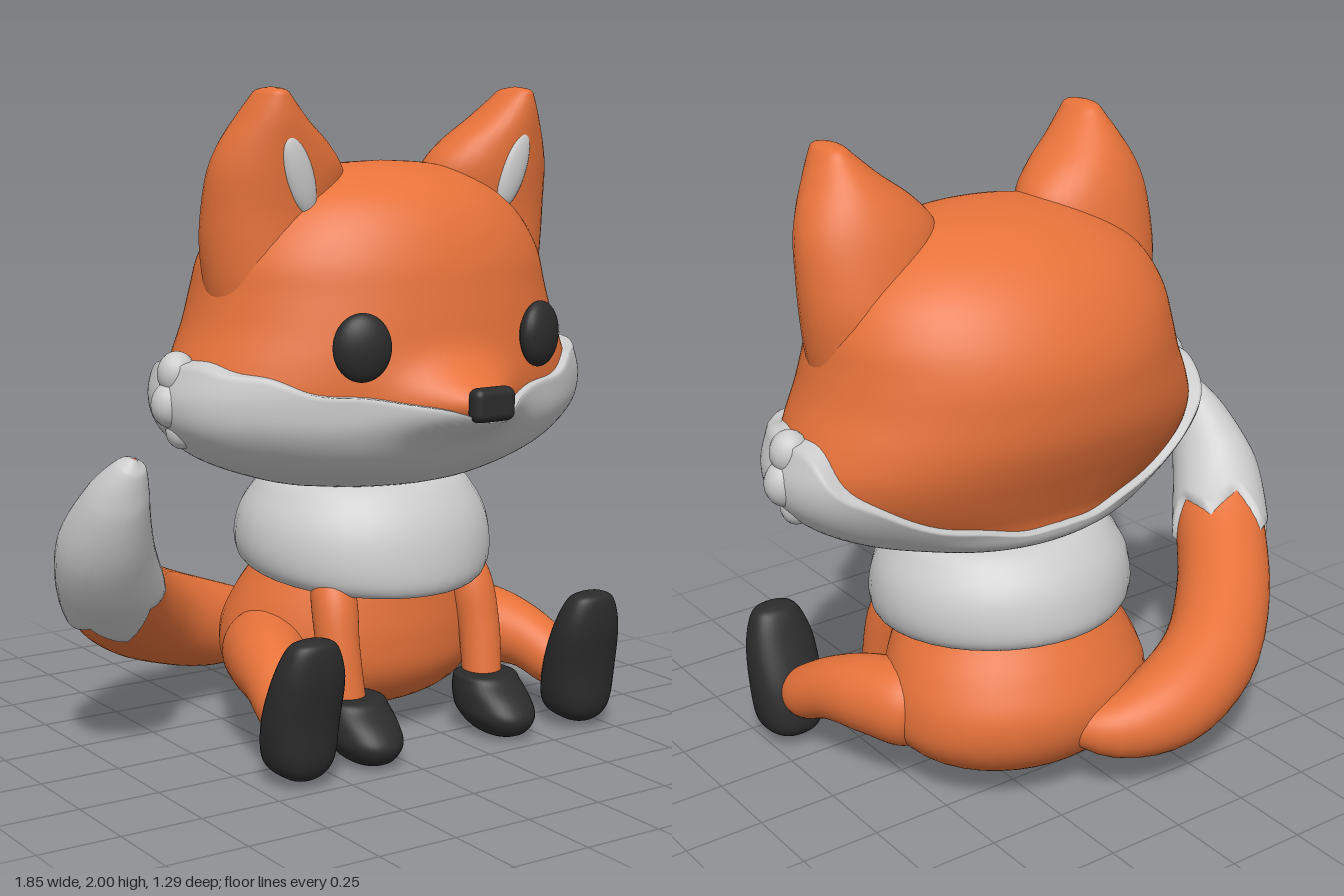
import * as THREE from 'three';
import { RoundedBoxGeometry } from 'three/addons/geometries/RoundedBoxGeometry.js';

const mat = (color) => new THREE.MeshStandardMaterial({ color, side: THREE.DoubleSide });
const orange = mat(0xe6723a), white = mat(0xcccccc), black = mat(0x2b2b2b);

function add(parent, name, geometry, material, x = 0, y = 0, z = 0) {
  const m = new THREE.Mesh(geometry, material);
  m.name = name;
  m.position.set(x, y, z);
  parent.add(m);
  return m;
}

// Grid surface closed around v; fn(u, angle) returns a Vector3
function surface(rows, cols, fn) {
  const pos = [], idx = [];
  for (let i = 0; i <= rows; i++)
    for (let j = 0; j < cols; j++) pos.push(...fn(i / rows, (j / cols) * Math.PI * 2).toArray());
  for (let i = 0; i < rows; i++)
    for (let j = 0; j < cols; j++) {
      const a = i * cols + j, b = i * cols + ((j + 1) % cols), c = a + cols, d = b + cols;
      idx.push(a, b, c, b, d, c);
    }
  const g = new THREE.BufferGeometry();
  g.setAttribute('position', new THREE.Float32BufferAttribute(pos, 3));
  g.setIndex(idx);
  g.computeVertexNormals();
  return g;
}

// Smooth lookup through a table of rows, u in 0..1
function smoothTable(table) {
  const n = table[0].length;
  const it = new THREE.CubicInterpolant(table.map((_, i) => i), table.flat(), n, new Array(n));
  return (u) => it.evaluate(Math.min(1, Math.max(0, u)) * (table.length - 1));
}

// Loft of rings [y, centreX, centreZ, halfWidth, halfDepth]; power < 1 squares them off
function loft(rings, power = 1, mirror = 1) {
  const at = smoothTable(rings);
  const sq = (v) => Math.sign(v) * Math.abs(v) ** power;
  return surface(rings.length * 5, 36, (u, a) => {
    const [y, cx, cz, hw, hd] = at(u);
    return new THREE.Vector3(cx * mirror + hw * sq(Math.sin(a)), y, cz + hd * sq(Math.cos(a)));
  });
}

// Round sweep along points [x, y, z, radius], from start(angle) to the end
function sweep(points, start = () => 0, swell = 0) {
  const curve = new THREE.CatmullRomCurve3(points.map((p) => new THREE.Vector3(p[0], p[1], p[2])));
  const radius = smoothTable(points.map((p) => [p[3]]));
  const N = 200, frames = curve.computeFrenetFrames(N);
  return surface(36, 40, (u, a) => {
    const s = start(a), t = s + (1 - s) * u, k = Math.round(t * N);
    const r = Math.max(0, radius(t)[0]) + (u === 0 ? -swell : swell * (1 - u));
    return curve.getPoint(t)
      .addScaledVector(frames.normals[k], r * Math.cos(a))
      .addScaledVector(frames.binormals[k], r * Math.sin(a));
  });
}

// Head rows: y, half width, front z, back z, centre z
const headAt = smoothTable([
  [0.805, 0, 0.0, 0.0, 0], [0.815, 0.26, 0.19, -0.22, 0], [0.86, 0.43, 0.31, -0.33, 0],
  [0.93, 0.58, 0.4, -0.36, 0], [1.02, 0.67, 0.45, -0.4, 0], [1.11, 0.69, 0.46, -0.44, 0],
  [1.2, 0.66, 0.465, -0.47, 0], [1.3, 0.615, 0.46, -0.48, 0], [1.4, 0.585, 0.445, -0.475, 0],
  [1.5, 0.56, 0.425, -0.44, 0], [1.6, 0.5, 0.385, -0.375, 0], [1.68, 0.41, 0.325, -0.285, 0.02],
  [1.74, 0.29, 0.23, -0.17, 0.04], [1.77, 0.16, 0.14, -0.06, 0.05], [1.78, 0, 0.05, 0.05, 0.05],
]);

function headPoint(u, a, off = 0) {
  const [y, w, zf, zb, zc] = headAt(u);
  const s = Math.sin(a), c = Math.cos(a), x = w * s;
  let z = zc + (c > 0 ? zf - zc : zc - zb) * c;
  const spread = y > 1.09 ? 0.095 : 0.08; // snout bulge
  if (c > 0) z += 0.165 * Math.exp(-((x / 0.17) ** 2) - ((y - 1.09) / spread) ** 2);
  return new THREE.Vector3(x + off * s, y - Math.abs(off) * 0.4, z + off * c);
}

// Upper border of the white mask, from the front (0) to the back (1)
const maskBorder = smoothTable([[1.1], [1.115], [1.145], [1.195], [1.22], [1.215], [1.09], [0.98], [0.92], [0.9]]);

function maskU(a) {
  const f = Math.abs(a > Math.PI ? a - 2 * Math.PI : a) / Math.PI;
  const y = maskBorder(f)[0] - 0.05 * Math.exp(-((f / 0.04) ** 2)) + 0.005 * Math.cos(14 * a);
  let lo = 0, hi = 1;
  for (let i = 0; i < 24; i++) {
    const mid = (lo + hi) / 2;
    if (headAt(mid)[0] < y) lo = mid; else hi = mid;
  }
  return lo;
}

function buildHead(root) {
  const head = new THREE.Group();
  head.name = 'head';
  root.add(head);
  add(head, 'skull', surface(72, 120, (u, a) => headPoint(u, a)), orange);
  // White mask: a shell around the lower head with a rolled rim
  add(head, 'whiteMask', surface(36, 160, (u, a) => {
    const side = Math.exp(-(((Math.abs(Math.sin(a)) - 1) / 0.12) ** 2));
    const t = Math.min(1, u * 1.06);
    const off = u === 1 ? -0.02 : (0.026 + 0.032 * side * t) * (u > 0.96 ? 0.8 : 1);
    return headPoint(maskU(a) * t, a, u === 0 ? 0 : off);
  }), white);
  add(head, 'nose', new RoundedBoxGeometry(0.145, 0.1, 0.06, 4, 0.025), black, 0, 1.1, 0.617);

  for (const s of [1, -1]) {
    const eye = add(head, 'eye', new THREE.SphereGeometry(1, 28, 20), black, 0.322 * s, 1.265, 0.43);
    eye.scale.set(0.087, 0.1, 0.045);
    eye.rotation.y = 0.35 * s;
    // Ear, widening at the base to run into the skull
    add(head, 'ear', loft([
      [1.28, 0.36, 0.03, 0.2, 0.17], [1.42, 0.37, 0.03, 0.22, 0.18], [1.54, 0.385, 0.03, 0.22, 0.175],
      [1.64, 0.385, 0.04, 0.222, 0.165], [1.75, 0.382, 0.06, 0.218, 0.155], [1.83, 0.4, 0.08, 0.175, 0.14],
      [1.9, 0.425, 0.105, 0.112, 0.118], [1.96, 0.44, 0.13, 0.062, 0.088], [1.99, 0.445, 0.14, 0.035, 0.065],
      [2.0, 0.445, 0.14, 0, 0],
    ], 1, s), orange);
    const inner = add(head, 'innerEar', new THREE.SphereGeometry(1, 20, 16), white, 0.39 * s, 1.745, 0.206);
    inner.scale.set(0.046, 0.122, 0.024);
    inner.rotation.set(0.06, 0, -0.33 * s);
    // Cheek tufts
    for (const [x, y, r] of [[0.69, 1.17, 0.058], [0.71, 1.08, 0.06], [0.675, 1.0, 0.048]]) {
      const tuft = add(head, 'cheekTuft', new THREE.SphereGeometry(r, 16, 12), white, x * s, y, 0.005);
      tuft.scale.y = 1.15;
    }
  }
}

function buildLimbs(root) {
  for (const s of [1, -1]) {
    add(root, 'frontLeg', sweep([
      [0.24 * s, 0.58, 0.12, 0.05], [0.255 * s, 0.47, 0.18, 0.07],
      [0.265 * s, 0.33, 0.22, 0.066], [0.255 * s, 0.12, 0.26, 0.06],
    ]), orange);
    add(root, 'frontPaw', loft([
      [0.005, 0.25, 0.35, 0, 0], [0.02, 0.25, 0.35, 0.06, 0.09], [0.07, 0.25, 0.335, 0.1, 0.14],
      [0.12, 0.25, 0.31, 0.105, 0.135], [0.165, 0.25, 0.285, 0.1, 0.105],
      [0.19, 0.25, 0.275, 0.085, 0.08], [0.185, 0.25, 0.27, 0, 0],
    ], 0.88, s), black);
    add(root, 'hindLeg', sweep([
      [0.3 * s, 0.25, -0.2, 0.02], [0.34 * s, 0.27, -0.09, 0.125], [0.41 * s, 0.275, 0.05, 0.125],
      [0.47 * s, 0.25, 0.2, 0.1], [0.51 * s, 0.18, 0.34, 0.075], [0.515 * s, 0.17, 0.38, 0],
    ]), orange);
    add(root, 'hindFoot', loft([
      [0.02, 0.52, 0.4, 0, 0], [0.03, 0.52, 0.4, 0.05, 0.06], [0.08, 0.52, 0.395, 0.1, 0.1],
      [0.2, 0.52, 0.41, 0.115, 0.095], [0.33, 0.515, 0.445, 0.11, 0.078],
      [0.42, 0.515, 0.465, 0.08, 0.055], [0.445, 0.515, 0.47, 0.045, 0.03], [0.45, 0.515, 0.47, 0, 0],
    ], 0.85, s), black);
  }
}

export function createModel() {
  const model = new THREE.Group();
  model.name = 'sittingFox';
  const root = new THREE.Group();
  root.name = 'fox';
  root.position.x = 0.15;
  model.add(root);

  add(root, 'body', loft([
    [0.06, 0, -0.12, 0, 0], [0.07, 0, -0.12, 0.19, 0.16], [0.12, 0, -0.12, 0.34, 0.28],
    [0.21, 0, -0.12, 0.425, 0.35], [0.32, 0, -0.12, 0.43, 0.365], [0.43, 0, -0.1, 0.39, 0.34],
    [0.55, 0, -0.07, 0.32, 0.3], [0.7, 0, -0.04, 0.27, 0.26], [0.86, 0, -0.02, 0.25, 0.25],
  ]), orange);

  // Neck ruff, drooping slightly at the front
  const ruff = loft([
    [0.52, 0, -0.045, 0.28, 0.28], [0.505, 0, -0.045, 0.345, 0.365], [0.535, 0, -0.045, 0.392, 0.395],
    [0.6, 0, -0.045, 0.41, 0.396], [0.68, 0, -0.045, 0.4, 0.378], [0.75, 0, -0.045, 0.365, 0.34],
    [0.81, 0, -0.045, 0.31, 0.28], [0.83, 0, -0.045, 0.2, 0.2],
  ]);
  const p = ruff.attributes.position;
  for (let i = 0; i < p.count; i++) {
    const low = Math.max(0, (0.83 - p.getY(i)) / 0.33);
    p.setY(i, p.getY(i) - 0.09 * low * (p.getZ(i) + 0.04));
  }
  ruff.computeVertexNormals();
  add(root, 'neckRuff', ruff, white);

  buildLimbs(root);
  buildHead(root);

  // Tail curling round the model's right side, with a zigzag-edged white tip
  const tail = [
    [0.02, 0.25, -0.38, 0.04], [-0.1, 0.23, -0.48, 0.095], [-0.3, 0.25, -0.5, 0.14],
    [-0.52, 0.32, -0.44, 0.152], [-0.72, 0.42, -0.28, 0.152], [-0.87, 0.54, -0.09, 0.147],
    [-0.955, 0.71, 0.05, 0.128], [-0.965, 0.86, 0.15, 0.085], [-0.945, 0.95, 0.2, 0.04], [-0.94, 0.975, 0.215, 0],
  ];
  add(root, 'tail', sweep(tail), orange);
  const zigzag = (a) => 0.52 + 0.045 * Math.abs(((a / (Math.PI * 2)) * 5 % 1) * 2 - 1);
  add(root, 'tailTip', sweep(tail, zigzag, 0.015), white);
  return model;
}
